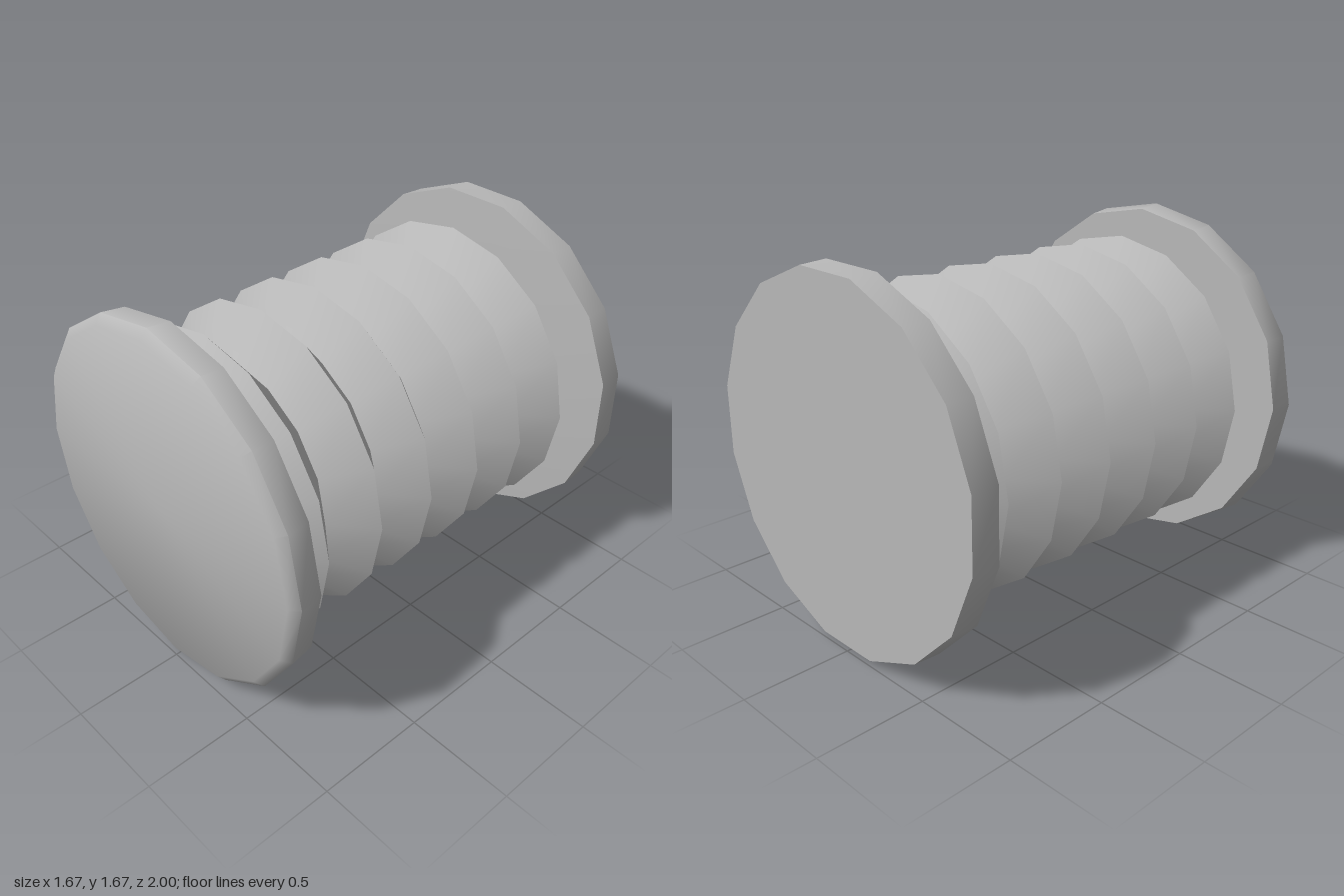
import * as THREE from 'three';
import { toCreasedNormals } from 'three/addons/utils/BufferGeometryUtils.js';

const SIDES = 16;
const CENTRE_Y = 0.836;

const greyMetal = new THREE.MeshStandardMaterial({ color: 0xb8b8b8 });
greyMetal.name = 'plainGrey';

// Revolves a list of [radius, z] points, back to front, around the z axis
function turned(name, profile, crease, spin = 0) {
  const points = profile.map(([r, z]) => new THREE.Vector2(r, z));
  const lathe = new THREE.LatheGeometry(points, SIDES, spin);
  lathe.rotateX(Math.PI / 2);
  const mesh = new THREE.Mesh(toCreasedNormals(lathe, crease), greyMetal);
  mesh.name = name;
  mesh.position.y = CENTRE_Y;
  return mesh;
}

export function createModel() {
  const group = new THREE.Group();
  group.name = 'bellows';

  // Six sharp folds between the two end plates
  const folds = 6, start = -0.87, pitch = 0.288;
  const profile = [[0.53, start]];
  for (let i = 0; i < folds; i++) {
    const z = start + i * pitch;
    profile.push([0.71, z + pitch / 2], [0.53, z + pitch]);
  }
  group.add(turned('foldedSleeve', profile, 0.7));

  // Flat back plate with a slightly raised inner face
  group.add(turned('backPlate', [
    [0, -1], [0.826, -1], [0.832, -0.875], [0.53, -0.857], [0, -0.857],
  ], 0.7, Math.PI / SIDES));

  // Front plate with a softened outer rim
  group.add(turned('frontPlate', [
    [0, 0.857], [0.822, 0.857], [0.836, 0.965], [0.795, 1], [0, 1],
  ], 1.0));

  return group;
}
